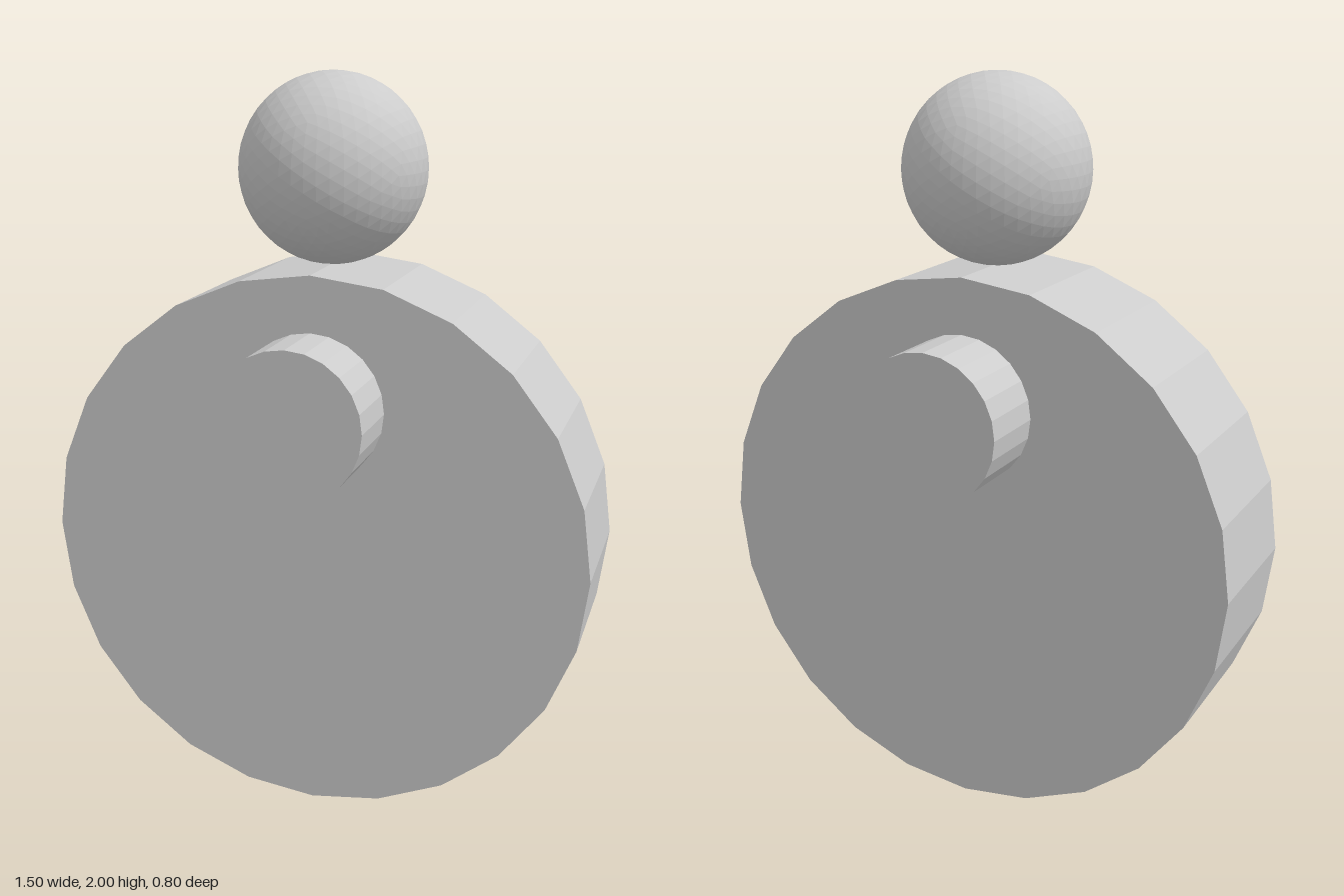
import * as THREE from 'three';

const material = new THREE.MeshStandardMaterial({ color: 0xcccccc, flatShading: true });

function addPart(group, name, geometry, y, z = 0) {
  const mesh = new THREE.Mesh(geometry, material);
  mesh.name = name;
  mesh.position.set(0, y, z);
  group.add(mesh);
}

// 24-sided disc with its axis along z
function disc(radius, depth) {
  return new THREE.CylinderGeometry(radius, radius, depth, 24).rotateX(Math.PI / 2);
}

export function createModel() {
  const model = new THREE.Group();
  model.name = 'discFigure';

  // Upright wheel-like body
  addPart(model, 'body', disc(0.75, 0.4), 0.75);

  // Short pegs on both faces of the body
  addPart(model, 'frontPeg', disc(0.2, 0.2), 1.15, 0.3);
  addPart(model, 'backPeg', disc(0.2, 0.2), 1.15, -0.3);

  // Faceted ball resting on the rim
  addPart(model, 'ball', new THREE.IcosahedronGeometry(0.25, 7), 1.75);

  return model;
}
